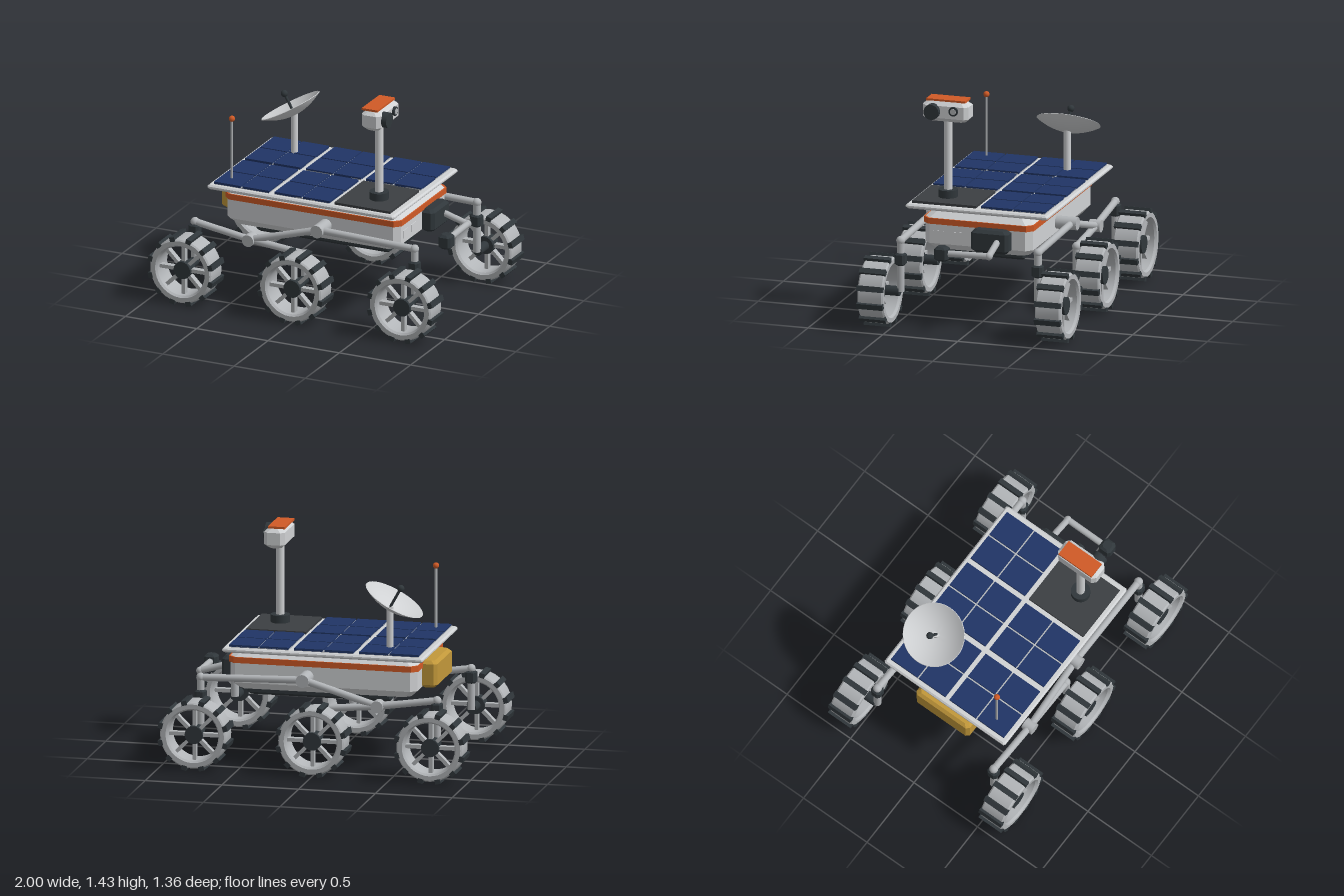
import * as THREE from 'three';
import { toCreasedNormals } from 'three/addons/utils/BufferGeometryUtils.js';

const mat = (name, color) => {
  const m = new THREE.MeshStandardMaterial({ color });
  m.name = name;
  return m;
};

// Stack of rectangles [y, halfX, halfZ] with cut corners, joined by flat faces
function loft(layers, cut) {
  const rings = layers.map(([y, a, b]) => [
    [a, b - cut], [a, cut - b], [a - cut, -b], [cut - a, -b],
    [-a, cut - b], [-a, b - cut], [cut - a, b], [a - cut, b],
  ].map(([x, z]) => [x, y, z]));
  const pos = [];
  const tri = (...p) => p.forEach((q) => pos.push(...q));
  for (let k = 0; k + 1 < rings.length; k++) {
    for (let i = 0; i < 8; i++) {
      const j = (i + 1) % 8, lo = rings[k], hi = rings[k + 1];
      tri(lo[i], lo[j], hi[j]);
      tri(lo[i], hi[j], hi[i]);
    }
  }
  const bottom = rings[0], top = rings[rings.length - 1];
  for (let i = 1; i < 7; i++) {
    tri(top[0], top[i], top[i + 1]);
    tri(bottom[0], bottom[i + 1], bottom[i]);
  }
  const g = new THREE.BufferGeometry();
  g.setAttribute('position', new THREE.Float32BufferAttribute(pos, 3));
  g.computeVertexNormals();
  return g;
}

const chamferBox = (w, h, d, c) => loft([
  [-h / 2, w / 2 - c, d / 2 - c], [c - h / 2, w / 2, d / 2],
  [h / 2 - c, w / 2, d / 2], [h / 2, w / 2 - c, d / 2 - c],
], c);

function add(parent, name, geometry, material, x = 0, y = 0, z = 0) {
  const m = new THREE.Mesh(geometry, material);
  m.name = name;
  m.position.set(x, y, z);
  parent.add(m);
  return m;
}

// Round bar between two points
function rod(parent, name, a, b, r, material, sides = 14) {
  const p = new THREE.Vector3(...a), q = new THREE.Vector3(...b);
  const dir = q.clone().sub(p);
  const m = add(parent, name, new THREE.CylinderGeometry(r, r, dir.length(), sides), material);
  m.position.copy(p).add(q).multiplyScalar(0.5);
  m.quaternion.setFromUnitVectors(new THREE.Vector3(0, 1, 0), dir.normalize());
  return m;
}

const lathe = (pts, segs) => toCreasedNormals(
  new THREE.LatheGeometry(pts.map(([x, y]) => new THREE.Vector2(x, y)), segs), 0.5);

export function createModel() {
  const shell = mat('shell white', 0xd0d2d4);
  const metal = mat('metal grey', 0xb2b5b8);
  const dark = mat('dark rubber', 0x30373b);
  const plate = mat('charcoal plate', 0x3c3f42);
  const orange = mat('orange', 0xd05a26);
  const blue = mat('solar blue', 0x203566);
  const gold = mat('gold foil', 0xc2983a);

  const model = new THREE.Group();
  model.name = 'rover';
  const box = (w, h, d) => new THREE.BoxGeometry(w, h, d);
  const ball = (r) => new THREE.SphereGeometry(r, 14, 10);

  // Hull, stripe and belly
  add(model, 'lowerHull', loft([[0.475, 0.56, 0.32], [0.52, 0.61, 0.36], [0.65, 0.61, 0.36]], 0.04), shell);
  add(model, 'hullStripe', loft([[0.648, 0.618, 0.368], [0.686, 0.618, 0.368]], 0.04), orange);
  add(model, 'upperHull', loft([[0.685, 0.61, 0.36], [0.74, 0.55, 0.305]], 0.04), shell);
  add(model, 'belly', chamferBox(0.94, 0.06, 0.565, 0.015), dark, 0.04, 0.46);
  for (const z of [0.26, 0.14]) add(model, 'hullHatch', box(0.006, 0.05, 0.07), shell, 0.611, 0.58, z);

  // Deck with solar panels
  add(model, 'deck', chamferBox(1.31, 0.03, 0.95, 0.01), shell, -0.025, 0.752);
  [-0.452, -0.027, 0.395].forEach((x, col) => [-0.23, 0.23].forEach((z, row) => {
    if (col === 2 && row === 1) {
      add(model, 'instrumentPlate', box(0.39, 0.018, 0.427), plate, x, 0.774, z);
      return;
    }
    add(model, 'panelBacking', box(0.386, 0.008, 0.427), metal, x, 0.77, z);
    for (const i of [-1, 1]) for (const j of [-1, 1]) {
      add(model, 'solarCell', box(0.187, 0.014, 0.208), blue, x + i * 0.0995, 0.777, z + j * 0.1095);
    }
  }));

  // Camera mast
  const mast = new THREE.Group();
  mast.name = 'cameraMast';
  mast.position.set(0.425, 0, 0.257);
  model.add(mast);
  add(mast, 'mastBase', new THREE.CylinderGeometry(0.062, 0.062, 0.055, 20), dark, 0, 0.805);
  rod(mast, 'mastPole', [0, 0.8, 0], [0, 1.3, 0], 0.027, shell, 18);
  add(mast, 'cameraHead', chamferBox(0.135, 0.13, 0.305, 0.025), shell, 0.007, 1.352);
  add(mast, 'headCap', box(0.11, 0.014, 0.26), orange, -0.005, 1.422);
  rod(mast, 'largeLens', [0.06, 1.355, 0.078], [0.11, 1.355, 0.078], 0.05, dark, 24);
  rod(mast, 'smallLens', [0.06, 1.365, -0.062], [0.09, 1.365, -0.062], 0.03, dark, 20);
  rod(mast, 'smallLensGlass', [0.088, 1.365, -0.062], [0.093, 1.365, -0.062], 0.02, metal, 20);

  // Dish antenna, tipped toward -x
  rod(model, 'dishPost', [-0.415, 0.765, -0.257], [-0.415, 1.045, -0.257], 0.023, shell);
  const dish = new THREE.Group();
  dish.name = 'dishAntenna';
  dish.position.set(-0.411, 1.033, -0.257);
  dish.rotation.z = 0.507;
  model.add(dish);
  const bowl = [];
  for (let i = 0; i <= 8; i++) bowl.push([0.206 * i / 8, 0.065 * (i / 8) ** 2]);
  for (let i = 8; i >= 0; i--) bowl.push([0.203 * i / 8, 0.008 + 0.06 * (i / 8) ** 2]);
  add(dish, 'dishBowl', lathe(bowl, 32), shell);
  rod(dish, 'dishFeedRod', [0, 0, 0], [0, 0.15, 0], 0.009, dark);
  add(dish, 'dishFeed', ball(0.023), dark, 0, 0.152);

  // Whip antenna
  rod(model, 'whipAntenna', [-0.57, 0.765, 0.335], [-0.57, 1.185, 0.335], 0.008, metal, 10);
  add(model, 'antennaTip', ball(0.02), orange, -0.57, 1.185, 0.335);

  // Power unit and sampling arm at the two ends
  add(model, 'powerUnit', chamferBox(0.12, 0.175, 0.42, 0.02), gold, -0.648, 0.603);
  add(model, 'armHousing', chamferBox(0.1, 0.15, 0.25, 0.02), dark, 0.643, 0.58, -0.105);
  rod(model, 'upperArm', [0.66, 0.59, -0.157], [0.848, 0.535, -0.157], 0.021, metal);
  add(model, 'armElbow', ball(0.025), metal, 0.848, 0.535, -0.157);
  rod(model, 'foreArm', [0.848, 0.535, -0.157], [0.848, 0.53, 0.13], 0.021, metal);
  add(model, 'armTool', chamferBox(0.085, 0.095, 0.088, 0.015), dark, 0.848, 0.528, 0.155);

  // Wheel parts shared by all six wheels
  const tyreGeo = lathe([[0.165, -0.07], [0.176, -0.085], [0.205, -0.085], [0.214, -0.075],
    [0.214, 0.075], [0.205, 0.085], [0.176, 0.085], [0.165, 0.07], [0.165, -0.07]], 36);
  const treadGeo = box(0.03, 0.036, 0.174);
  const spokeGeo = box(0.13, 0.024, 0.04);

  function wheel(x, side) {
    const w = new THREE.Group();
    w.name = 'wheel';
    w.position.set(x, 0.232, side * 0.593);
    model.add(w);
    add(w, 'tyre', tyreGeo, metal).rotation.x = Math.PI / 2;
    for (let i = 0; i < 12; i++) {
      const a = (i + 0.5) * Math.PI / 6;
      add(w, 'tread', treadGeo, dark, 0.217 * Math.cos(a), 0.217 * Math.sin(a)).rotation.z = a;
    }
    for (let i = 0; i < 8; i++) {
      const a = i * Math.PI / 4;
      add(w, 'spoke', spokeGeo, metal, 0.11 * Math.cos(a), 0.11 * Math.sin(a), side * 0.02).rotation.z = a;
    }
    rod(w, 'hub', [0, 0, -side * 0.02], [0, 0, side * 0.06], 0.058, dark, 20);
    rod(w, 'hubMotor', [0, 0, -side * 0.13], [0, 0, 0], 0.032, dark);
  }

  // Rocker suspension, mirrored on both sides
  for (const s of [1, -1]) {
    const z = s * 0.458;
    const main = [0.1, 0.583, z], bogie = [-0.385, 0.44, z];
    const ends = [[0.77, 0.565, z], [-0.77, 0.498, z], [0, 0.405, z]];
    rod(model, 'rockerAxle', [0.1, 0.583, s * 0.33], [0.1, 0.583, s * 0.5], 0.042, metal, 20);
    rod(model, 'bogiePivot', [-0.385, 0.44, s * 0.42], [-0.385, 0.44, s * 0.495], 0.04, metal, 20);
    rod(model, 'rockerArm', main, bogie, 0.023, metal);
    ends.forEach((end, i) => {
      const [x] = end;
      rod(model, 'suspensionArm', i === 0 ? main : bogie, end, 0.023, metal);
      add(model, 'elbow', ball(0.029), metal, ...end);
      rod(model, 'wheelLeg', end, [x, 0.232, z], 0.025, metal);
      if (i < 2) add(model, 'steeringKnuckle', chamferBox(0.07, 0.09, 0.07, 0.015), dark, x, 0.445, z);
      wheel(x, s);
    });
  }
  return model;
}
